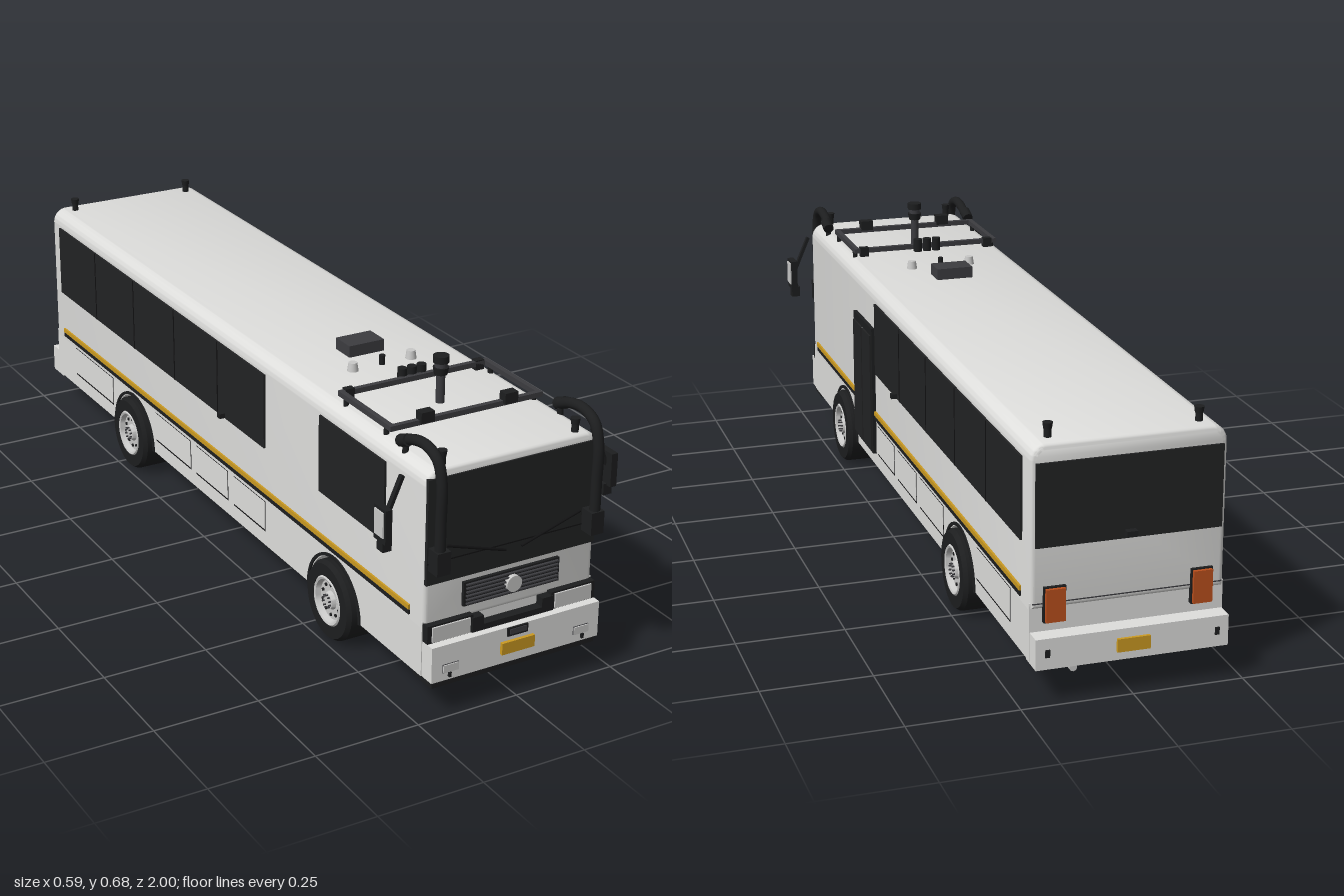
import * as THREE from 'three';
import { toCreasedNormals } from 'three/addons/utils/BufferGeometryUtils.js';

const material = (name, color) => {
  const m = new THREE.MeshStandardMaterial({ color });
  m.name = name;
  return m;
};

export function createModel() {
  const white = material('white paint', 0xdededc);
  const black = material('black trim', 0x1d1e1f);
  const glass = material('dark glass', 0x222324);
  const line = material('panel line', 0x121213);
  const grey = material('dark grey', 0x3c3c40);
  const silver = material('silver', 0xc9c9c8);
  const yellow = material('yellow', 0xcb9a22);
  const orange = material('orange lamp', 0xbb4f1c);

  const bus = new THREE.Group();
  bus.name = 'bus';
  const W = 0.217; // half width of the body

  const add = (name, geo, mat, parent = bus) => {
    const m = new THREE.Mesh(geo, mat);
    m.name = name;
    parent.add(m);
    return m;
  };
  const box = (name, mat, x0, x1, y0, y1, z0, z1) => {
    const m = add(name, new THREE.BoxGeometry(x1 - x0, y1 - y0, z1 - z0), mat);
    m.position.set((x0 + x1) / 2, (y0 + y1) / 2, (z0 + z1) / 2);
    return m;
  };
  // box mirrored to one side: s = 1 is the left (+x), s = -1 the right
  const sideBox = (name, mat, s, x0, x1, ...rest) =>
    s > 0 ? box(name, mat, x0, x1, ...rest) : box(name, mat, -x1, -x0, ...rest);
  const post = (name, mat, x, y0, y1, z, r0, r1 = r0) => {
    const m = add(name, new THREE.CylinderGeometry(r1, r0, y1 - y0, 20), mat);
    m.position.set(x, (y0 + y1) / 2, z);
    return m;
  };
  const rod = (name, mat, a, b, r) => {
    const p = new THREE.Vector3(...a), q = new THREE.Vector3(...b);
    const d = q.clone().sub(p);
    const m = add(name, new THREE.CylinderGeometry(r, r, d.length(), 10), mat);
    m.position.copy(p).add(q).multiplyScalar(0.5);
    m.quaternion.setFromUnitVectors(new THREE.Vector3(0, 1, 0), d.normalize());
    return m;
  };

  // upper body: rounded roof section run along the length
  const R = 0.036, top = 0.565, B = 0.012, Z = 0.957;
  const section = new THREE.Shape();
  section.moveTo(-W, 0.2);
  section.lineTo(W, 0.2);
  section.lineTo(W, top - R);
  section.absarc(W - R, top - R, R, 0, Math.PI / 2, false);
  section.absarc(-W + R, top - R, R, Math.PI / 2, Math.PI, false);
  section.closePath();
  const upper = new THREE.ExtrudeGeometry(section, {
    depth: 2 * (Z - B), bevelEnabled: true, bevelThickness: B, bevelSize: B,
    bevelOffset: -B, bevelSegments: 4, curveSegments: 8,
  });
  upper.translate(0, 0, -(Z - B));
  add('upperBody', toCreasedNormals(upper, 0.6), white);

  // lower body: side profile with wheel arches, run across the width
  const axles = [-0.46, 0.585];
  const floor = 0.085, arch = 0.109;
  const profile = new THREE.Shape();
  profile.moveTo(-Z + 0.004, floor);
  for (const z of axles) {
    profile.lineTo(z - arch, floor);
    profile.absarc(z, floor, arch, Math.PI, 0, true);
  }
  profile.lineTo(Z - 0.004, floor);
  profile.lineTo(Z - 0.004, 0.215);
  profile.lineTo(-Z + 0.004, 0.215);
  profile.closePath();
  const lower = new THREE.ExtrudeGeometry(profile, { depth: 2 * W, bevelEnabled: false, curveSegments: 24 });
  lower.rotateY(-Math.PI / 2);
  lower.translate(W, 0, 0);
  add('lowerBody', toCreasedNormals(lower, 0.6), white);
  box('wheelWellCore', black, -0.13, 0.13, 0.08, 0.21, -0.9, 0.9);
  box('underframe', black, -0.172, 0.172, 0.035, 0.086, -0.87, 0.87);

  // wheels and arch trims
  const tyreGeo = toCreasedNormals(new THREE.LatheGeometry([
    [0, -0.052], [0.086, -0.052], [0.095, -0.042], [0.095, 0.042], [0.088, 0.052], [0.06, 0.052], [0.056, 0.03],
  ].map(p => new THREE.Vector2(...p)), 40), 0.5);
  const rimGeo = toCreasedNormals(new THREE.LatheGeometry([
    [0.06, 0.05], [0.056, 0.054], [0.051, 0.052], [0.047, 0.04], [0.022, 0.04], [0.019, 0.05], [0, 0.05],
  ].map(p => new THREE.Vector2(...p)), 32), 0.5);
  const archTrim = new THREE.Shape();
  archTrim.absarc(0, 0, 0.118, 0, Math.PI, false);
  archTrim.absarc(0, 0, 0.111, Math.PI, 0, true);
  const trimGeo = new THREE.ExtrudeGeometry(archTrim, { depth: 0.006, bevelEnabled: false, curveSegments: 24 });
  trimGeo.rotateY(Math.PI / 2);
  for (const s of [1, -1]) for (const z of axles) {
    const wheel = new THREE.Group();
    wheel.name = 'wheel';
    add('tyre', tyreGeo, black, wheel);
    add('rim', rimGeo, silver, wheel);
    for (let i = 0; i < 10; i++) {
      const a = i * Math.PI / 5;
      const hole = add('rimHole', new THREE.CylinderGeometry(0.004, 0.004, 0.004, 10), black, wheel);
      hole.position.set(0.037 * Math.cos(a), 0.041, 0.037 * Math.sin(a));
      const nut = add('wheelNut', new THREE.CylinderGeometry(0.002, 0.002, 0.012, 6), grey, wheel);
      nut.position.set(0.015 * Math.cos(a), 0.05, 0.015 * Math.sin(a));
    }
    wheel.rotation.z = -s * Math.PI / 2;
    wheel.position.set(s * 0.184, 0.095, z);
    bus.add(wheel);
    add('archTrim', trimGeo, black).position.set(s > 0 ? W - 0.002 : -W - 0.004, floor, z);
  }

  // side windows, stripes, hatches and small fittings
  const sideWindow = (s, z0, z1, panes) => {
    sideBox('sideWindow', glass, s, W - 0.002, W + 0.005, 0.34, 0.525, z0, z1);
    for (let i = 1; i < panes; i++) {
      const z = z0 + (z1 - z0) * i / panes;
      sideBox('windowDivider', line, s, W, W + 0.006, 0.34, 0.525, z - 0.002, z + 0.002);
    }
  };
  const hatches = [[0.1, 0.26], [-0.1, 0.07], [-0.33, -0.13], [-0.83, -0.59]];
  for (const s of [1, -1]) {
    sideWindow(s, -0.905, 0.263, 5);
    sideBox('yellowStripe', yellow, s, W - 0.002, W + 0.005, 0.224, 0.235, -0.9, 0.905);
    sideBox('blackStripe', black, s, W - 0.002, W + 0.004, 0.212, 0.222, -0.9, 0.905);
    for (const [a, b] of hatches) {
      sideBox('hatchGap', line, s, W - 0.002, W + 0.001, 0.122, 0.2, a, b);
      sideBox('hatch', white, s, W - 0.002, W + 0.002, 0.127, 0.199, a + 0.001, b - 0.001);
    }
    sideBox('sideCamera', black, s, W, 0.236, 0.341, 0.353, 0.053, 0.067);
  }
  sideWindow(-1, 0.52, 0.8, 1);

  // entry door on the left
  sideBox('doorFrame', black, 1, W - 0.002, 0.226, 0.12, 0.455, 0.277, 0.456);
  for (const [a, b] of [[0.284, 0.362], [0.37, 0.449]])
    sideBox('doorLeaf', glass, 1, 0.224, 0.23, 0.13, 0.435, a, b);
  sideBox('doorSeal', silver, 1, 0.224, 0.228, 0.13, 0.435, 0.364, 0.368);

  // windscreen and wipers
  box('windscreen', glass, -0.214, 0.214, 0.303, 0.547, Z - 0.006, Z + 0.004);
  box('windscreenSill', line, -0.214, 0.214, 0.353, 0.356, Z, Z + 0.005);
  for (const s of [1, -1])
    rod('wiper', line, [s * 0.02, 0.343, 0.966], [s * 0.17, 0.39, 0.966], 0.003);

  // grille with slats and round badge
  box('grille', black, -0.122, 0.122, 0.233, 0.29, Z - 0.005, 0.965);
  for (let i = 0; i < 6; i++)
    box('grilleSlat', grey, -0.117, 0.117, 0.238 + i * 0.009, 0.241 + i * 0.009, 0.96, 0.971);
  add('badge', new THREE.CylinderGeometry(0.019, 0.019, 0.012, 32), silver)
    .rotateX(Math.PI / 2).position.set(0, 0.261, 0.97);

  // front bumper, headlights and plate
  box('frontBumper', white, -0.215, 0.215, 0.085, 0.17, 0.93, 0.992);
  box('frontSkirt', black, -0.21, 0.21, 0.068, 0.086, 0.91, 0.985);
  box('bumperGap', black, -0.104, 0.104, 0.17, 0.184, 0.95, 0.975);
  box('bumperBadge', black, -0.026, 0.026, 0.149, 0.169, 0.988, 0.996);
  box('badgeInset', grey, -0.021, 0.021, 0.154, 0.166, 0.99, 0.998);
  box('frontPlate', yellow, -0.042, 0.042, 0.11, 0.138, 0.99, 1.0);
  for (const s of [1, -1]) {
    sideBox('headlightHousing', black, s, 0.1, 0.215, 0.169, 0.212, 0.93, 0.972);
    sideBox('headlight', silver, s, 0.109, 0.204, 0.173, 0.208, 0.968, 0.976);
    sideBox('gapStep', black, s, 0.075, 0.104, 0.17, 0.205, 0.95, 0.975);
    sideBox('fogLightRim', grey, s, 0.148, 0.188, 0.104, 0.124, 0.988, 0.9935);
    sideBox('fogLight', silver, s, 0.149, 0.187, 0.105, 0.123, 0.99, 0.996);
    sideBox('towPin', black, s, 0.168, 0.174, 0.093, 0.104, 0.988, 0.998);
  }

  // air intake pipes and mirrors
  for (const s of [1, -1]) {
    sideBox('intakeBase', black, s, 0.178, 0.211, 0.34, 0.393, 0.955, 0.997);
    const path = new THREE.CatmullRomCurve3([
      [0.36, 0.982], [0.45, 0.982], [0.545, 0.982], [0.59, 0.965], [0.607, 0.925], [0.603, 0.88], [0.588, 0.84],
    ].map(([y, z]) => new THREE.Vector3(s * 0.196, y, z)));
    add('intakePipe', new THREE.TubeGeometry(path, 48, 0.012, 14), black);
    rod('intakeMouth', black, [s * 0.199, 0.594, 0.855], [s * 0.199, 0.581, 0.825], 0.014);
    post('intakeFoot', black, s * 0.196, 0.545, 0.59, 0.84, 0.007);

    const arm = box('mirrorArm', black, -0.004, 0.004, -0.055, 0.055, 0.894, 0.906);
    arm.position.set(s * 0.263, 0.491, 0.9);
    arm.rotation.z = s * 0.41;
    sideBox('mirrorCase', black, s, 0.278, 0.294, 0.402, 0.481, 0.878, 0.925);
    sideBox('mirrorGlass', silver, s, 0.292, 0.297, 0.416, 0.474, 0.884, 0.919);
    sideBox('lowerMirror', black, s, 0.27, 0.292, 0.379, 0.406, 0.888, 0.912);
  }

  // roof rack with lamps and mast
  for (const s of [1, -1]) {
    sideBox('rackSideRail', grey, s, 0.182, 0.194, 0.579, 0.591, 0.555, 0.775);
    for (const z of [0.58, 0.75]) post('rackFoot', black, s * 0.188, 0.545, 0.585, z, 0.006);
    sideBox('rackLamp', black, s, 0.09, 0.123, 0.585, 0.61, 0.762, 0.785);
    sideBox('rackClamp', black, s, 0.158, 0.18, 0.57, 0.594, 0.55, 0.566);
    post('roofDome', silver, s * 0.077, 0.56, 0.585, 0.42, 0.014, 0.01);
    for (const z of [-0.915, 0.935]) {
      post('markerStem', black, s * 0.167, 0.555, 0.585, z, 0.008);
      post('markerCap', black, s * 0.167, 0.583, 0.597, z, 0.009, 0.011);
    }
  }
  for (const z of [0.56, 0.77]) box('rackCrossBar', grey, -0.194, 0.194, 0.579, 0.591, z - 0.006, z + 0.006);
  for (const x of [-0.025, 0, 0.025]) post('rearRackLamp', black, x, 0.575, 0.608, 0.547, 0.011);
  post('mast', grey, 0, 0.56, 0.635, 0.665, 0.01);
  post('mastLamp', black, 0, 0.632, 0.649, 0.665, 0.015, 0.018);
  post('mastNeck', grey, 0, 0.649, 0.66, 0.665, 0.014);
  post('mastCap', black, 0, 0.66, 0.676, 0.665, 0.018);
  post('roofStub', black, 0, 0.56, 0.588, 0.42, 0.007);
  box('roofVent', grey, -0.046, 0.046, 0.562, 0.593, 0.29, 0.352);

  // rear window, lamps, bumper, plate and exhaust
  box('rearWindow', glass, -0.207, 0.207, 0.34, 0.525, -Z - 0.005, -Z + 0.004);
  box('rearSeam', grey, -0.212, 0.212, 0.213, 0.2155, -Z - 0.001, -Z + 0.01);
  box('rearCamera', black, -0.012, 0.012, 0.347, 0.36, -0.978, -0.955);
  box('rearBumper', white, -0.216, 0.216, 0.08, 0.15, -0.993, -0.93);
  box('rearPlate', yellow, -0.037, 0.037, 0.1, 0.13, -1.0, -0.99);
  for (const s of [1, -1]) {
    sideBox('rearLampFrame', black, s, 0.14, 0.189, 0.172, 0.252, -0.964, -0.95);
    sideBox('rearLamp', orange, s, 0.143, 0.186, 0.175, 0.249, -0.972, -0.96);
    sideBox('rearReflector', black, s, 0.185, 0.195, 0.108, 0.125, -0.996, -0.99);
  }
  rod('exhaustPipe', silver, [0.13, 0.073, -0.9], [0.13, 0.073, -0.985], 0.009);

  return bus;
}
